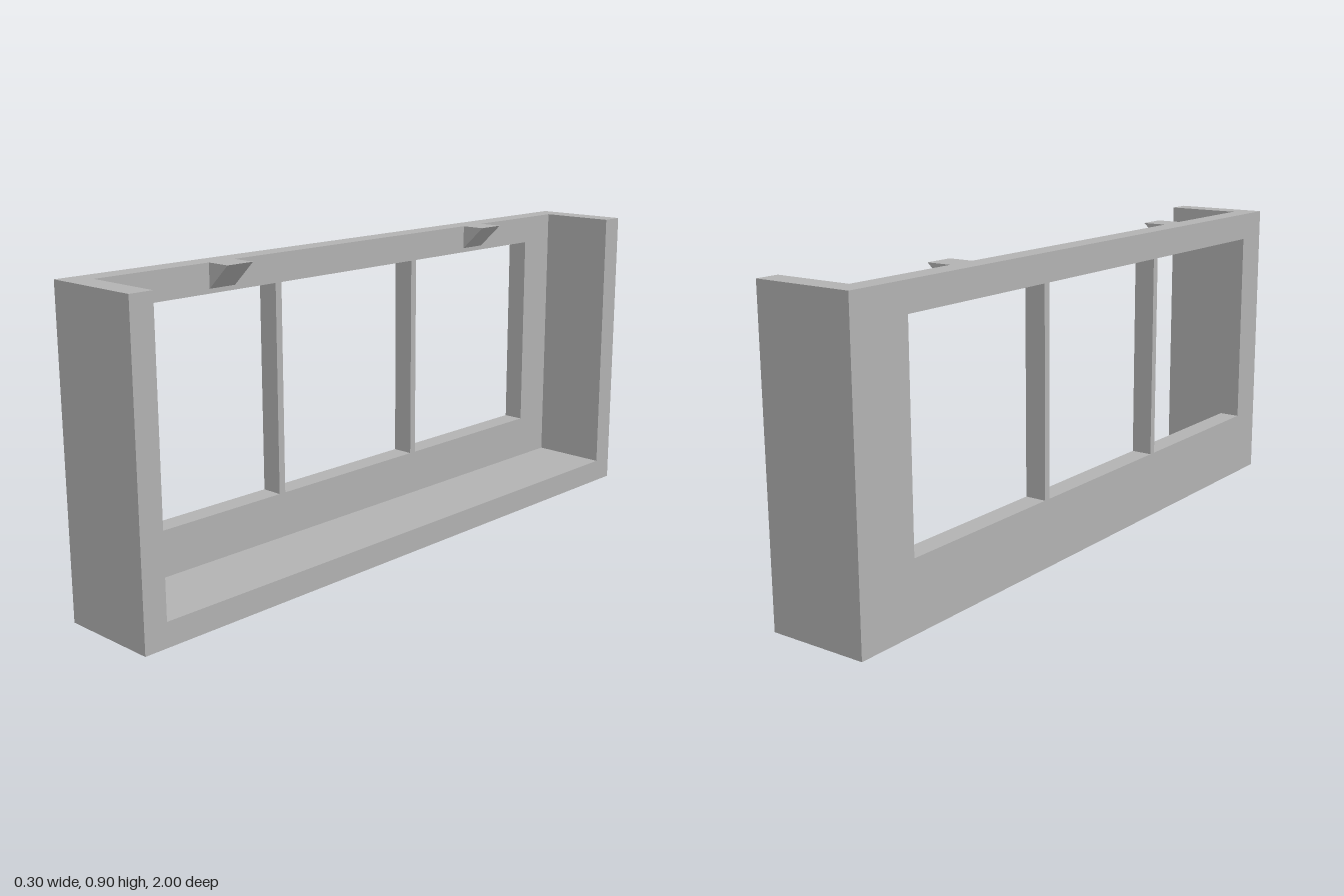
import * as THREE from 'three';

const BACK = -0.15, INNER = -0.085, FRONT = 0.15, HEIGHT = 0.9, WALL = 0.07;

// Shape from [z, y] corner pairs; the shape's x axis runs along -z
const outline = (points, Type = THREE.Shape) =>
  new Type(points.map(([z, y]) => new THREE.Vector2(-z, y)));

const rect = (z0, z1, y0, y1) => [[z0, y0], [z1, y0], [z1, y1], [z0, y1]];

export function createModel() {
  const group = new THREE.Group();
  const grey = new THREE.MeshStandardMaterial({ color: 0xb2b2b2 });
  grey.name = 'grey';

  // Extrudes a side outline along x
  const slab = (name, shape, x0, x1) => {
    const geometry = new THREE.ExtrudeGeometry(shape, { depth: x1 - x0, bevelEnabled: false });
    geometry.rotateY(Math.PI / 2).translate(x0, 0, 0);
    const mesh = new THREE.Mesh(geometry, grey);
    mesh.name = name;
    group.add(mesh);
  };

  // Upright panel with three openings separated by slim mullions
  const panel = outline(rect(1, -1, 0, HEIGHT));
  for (const [z0, z1] of [[0.885, 0.332], [0.31, -0.23], [-0.252, -0.803]]) {
    panel.holes.push(outline(rect(z0, z1, 0.203, 0.817), THREE.Path));
  }
  slab('windowPanel', panel, BACK, INNER);

  // Floor and two end walls, open at the top
  const e = 1 - WALL;
  slab('floorAndEndWalls', outline([
    [1, 0], [-1, 0], [-1, HEIGHT], [-e, HEIGHT], [-e, WALL], [e, WALL], [e, HEIGHT], [1, HEIGHT],
  ]), INNER, FRONT);

  // Wedge hooks along the top edge, sloping back to the panel underneath
  const wedge = new THREE.Shape([
    new THREE.Vector2(INNER, HEIGHT - 0.07),
    new THREE.Vector2(-0.01, HEIGHT),
    new THREE.Vector2(INNER, HEIGHT),
  ]);
  const width = 0.088;
  const wedgeGeometry = new THREE.ExtrudeGeometry(wedge, { depth: width, bevelEnabled: false });
  for (const [name, z] of [['frontHook', 0.523], ['rearHook', -0.523]]) {
    const hook = new THREE.Mesh(wedgeGeometry, grey);
    hook.name = name;
    hook.position.z = z - width / 2;
    group.add(hook);
  }
  return group;
}
